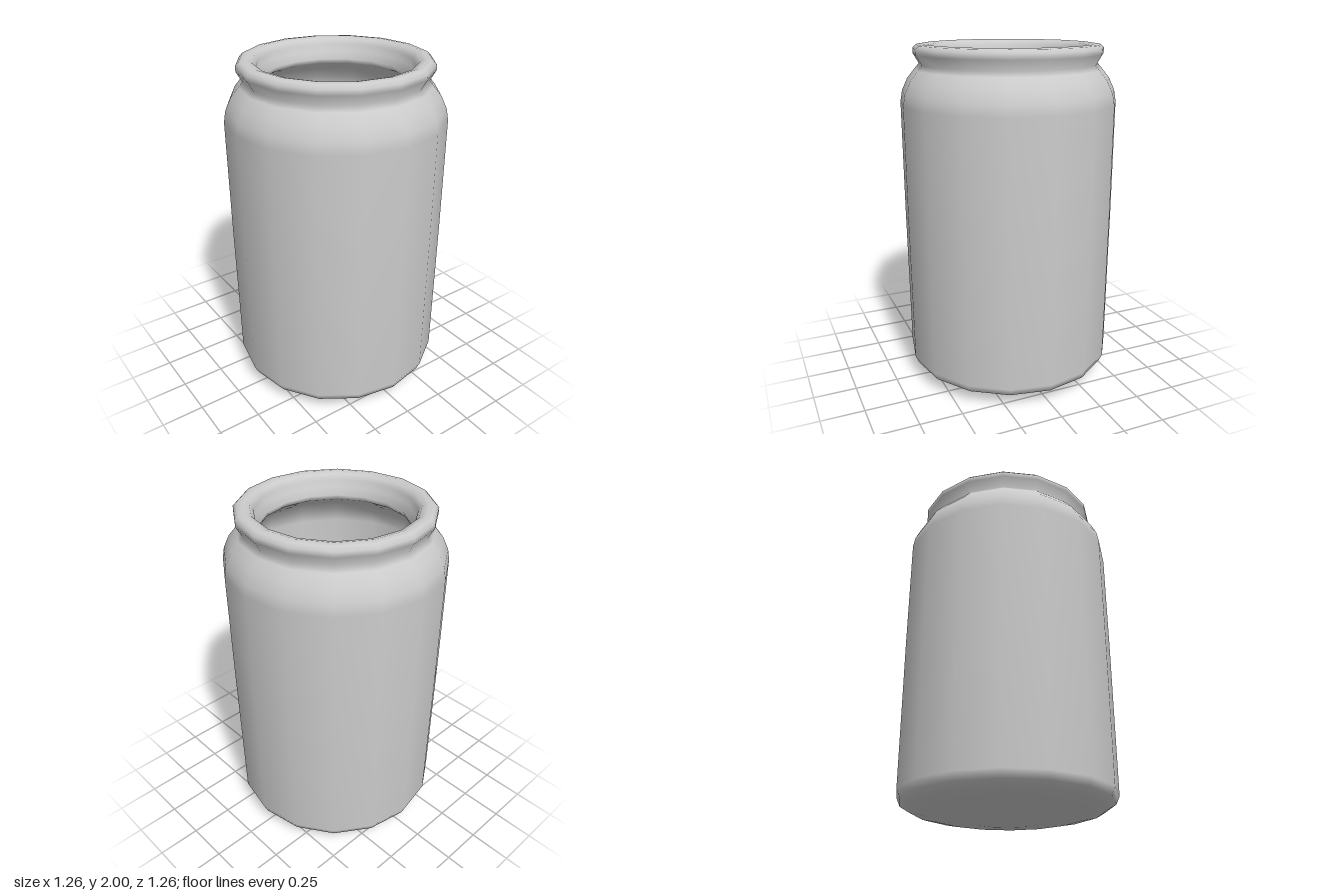
import * as THREE from 'three';

const SIDES = 16;

// Smooth revolved part from [radius, height] points, bottom centre first
function turned(name, color, profile) {
  const points = profile.map(([r, y]) => new THREE.Vector2(r, y));
  const mesh = new THREE.Mesh(
    new THREE.LatheGeometry(points, SIDES),
    new THREE.MeshStandardMaterial({ color })
  );
  mesh.name = name;
  return mesh;
}

export function createModel() {
  const group = new THREE.Group();
  group.name = 'jar';

  group.add(turned('jarGlass', 0xcccccc, [
    // rounded base
    [0, 0], [0.25, 0.01], [0.45, 0.03], [0.55, 0.052], [0.605, 0.085], [0.625, 0.13],
    // outer wall and shoulder
    [0.63, 1.0], [0.63, 1.67], [0.618, 1.735], [0.585, 1.805], [0.54, 1.86], [0.515, 1.888],
    // rolled rim
    [0.548, 1.945], [0.548, 1.975], [0.528, 1.995], [0.495, 2.0], [0.46, 1.99], [0.44, 1.96],
    // neck opening
    [0.435, 1.92], [0.405, 1.88], [0.42, 1.85],
    // inner wall and floor
    [0.5, 1.8], [0.56, 1.73], [0.585, 1.65], [0.585, 0.15], [0.56, 0.1], [0.45, 0.06], [0, 0.04],
  ]));

  group.add(turned('liquid', 0x14f0c6, [
    [0, 0.06], [0.43, 0.08], [0.54, 0.12], [0.575, 0.18],
    [0.578, 0.75], [0.578, 0.95], [0.565, 0.97], [0.4, 0.972], [0, 0.972],
  ]));

  return group;
}
